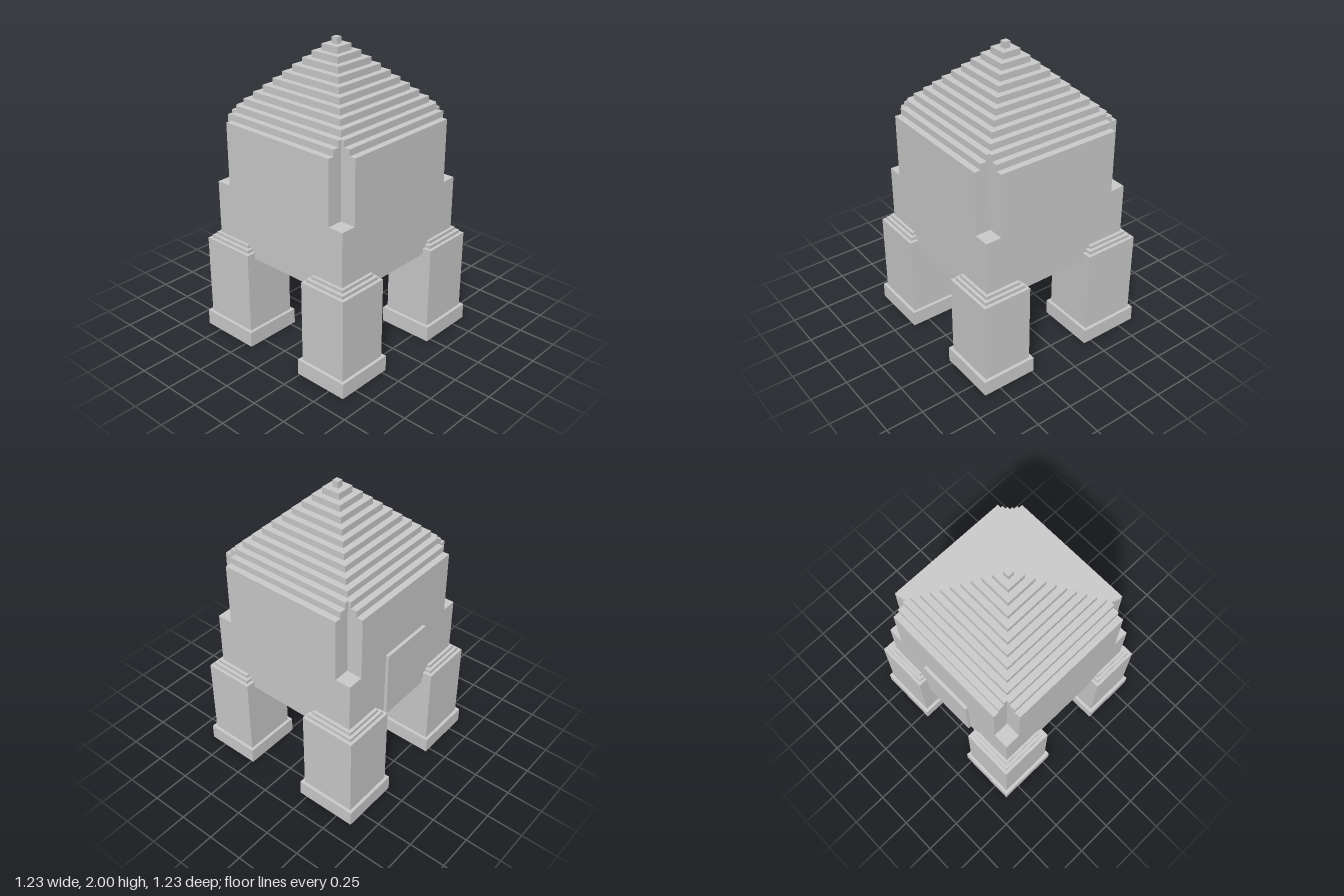
import * as THREE from 'three';

const material = new THREE.MeshStandardMaterial({ color: 0xcccccc, flatShading: true });
const V = 0.0213; // thickness of one small step

function addMesh(parent, name, geometry, x = 0, y = 0, z = 0) {
  const mesh = new THREE.Mesh(geometry, material);
  mesh.name = name;
  mesh.position.set(x, y, z);
  parent.add(mesh);
}

// Box standing on height y
function addBlock(parent, name, w, h, d, x, y, z) {
  addMesh(parent, name, new THREE.BoxGeometry(w, h, d), x, y + h / 2, z);
}

function extrudeUp(shape, height) {
  return new THREE.ExtrudeGeometry(shape, { depth: height, bevelEnabled: false }).rotateX(-Math.PI / 2);
}

function rectPoints(w, d) {
  return [[-w, -d], [w, -d], [w, d], [-w, d]].map(([x, y]) => new THREE.Vector2(x / 2, y / 2));
}

// Open rectangular tube with a wall one step thick
function tube(w, d, height) {
  const shape = new THREE.Shape(rectPoints(w, d));
  shape.holes.push(new THREE.Path(rectPoints(w - 2 * V, d - 2 * V).reverse()));
  return extrudeUp(shape, height);
}

// Square of half width a with its corners notched back to b
function notchedSquare(a, b) {
  const corners = [[a, -b], [a, b], [b, b], [b, a], [-b, a], [-b, b],
    [-a, b], [-a, -b], [-b, -b], [-b, -a], [b, -a], [b, -b]];
  return new THREE.Shape(corners.map(([x, y]) => new THREE.Vector2(x, y)));
}

// Hollow leg with a foot and a stepped top
function createLeg(name, x0, x1, z0, z1, top) {
  const leg = new THREE.Group();
  leg.name = name;
  leg.position.set((x0 + x1) / 2, 0, (z0 + z1) / 2);
  const w = x1 - x0, d = z1 - z0;
  addMesh(leg, 'foot', tube(w, d, 0.106));
  addMesh(leg, 'shaft', tube(w - 2 * V, d - 2 * V, top - 0.085), 0, 0.085, 0);
  for (let i = 0; i < 2; i++) {
    addBlock(leg, 'legTopStep', w - (4 + 2 * i) * V, V, d - (4 + 2 * i) * V, 0, top + i * V, 0);
  }
  return leg;
}

export function createModel() {
  const model = new THREE.Group();
  model.name = 'steppedTower';

  // Legs, the back one on the -x side a step taller
  const sidesX = [['Left', 0.235, 0.615], ['Right', -0.617, -0.195]];
  const sidesZ = [['front', 0.212, 0.614], ['back', -0.617, -0.215]];
  for (const [nx, x0, x1] of sidesX) {
    for (const [nz, z0, z1] of sidesZ) {
      const top = nx === 'Right' && nz === 'back' ? 0.661 + V : 0.661;
      model.add(createLeg(`${nz}${nx}Leg`, x0, x1, z0, z1, top));
    }
  }

  // Body: full square below, notched corners above
  const half = 0.532, notch = 0.426, eaves = 1.49;
  addBlock(model, 'lowerBody', 2 * half, 1.065 - 0.62, 2 * half, 0, 0.62, 0);
  addMesh(model, 'upperBody', extrudeUp(notchedSquare(half, notch), eaves - 1.065), 0, 1.065, 0);

  // Pyramid roof, its first two steps notched like the body
  const step = 0.0425;
  for (let k = 1; k <= 12; k++) {
    const a = half - k * 0.0426;
    const y = eaves + (k - 1) * step;
    if (k < 3) addMesh(model, 'roofStep', extrudeUp(notchedSquare(a, notch), step), 0, y, 0);
    else addBlock(model, 'roofStep', 2 * a, step, 2 * a, 0, y, 0);
  }

  // Door panel on one side
  addBlock(model, 'doorPanel', V, 1.086 - 0.62, 0.38, -half - V / 2, 0.62, 0);
  return model;
}
